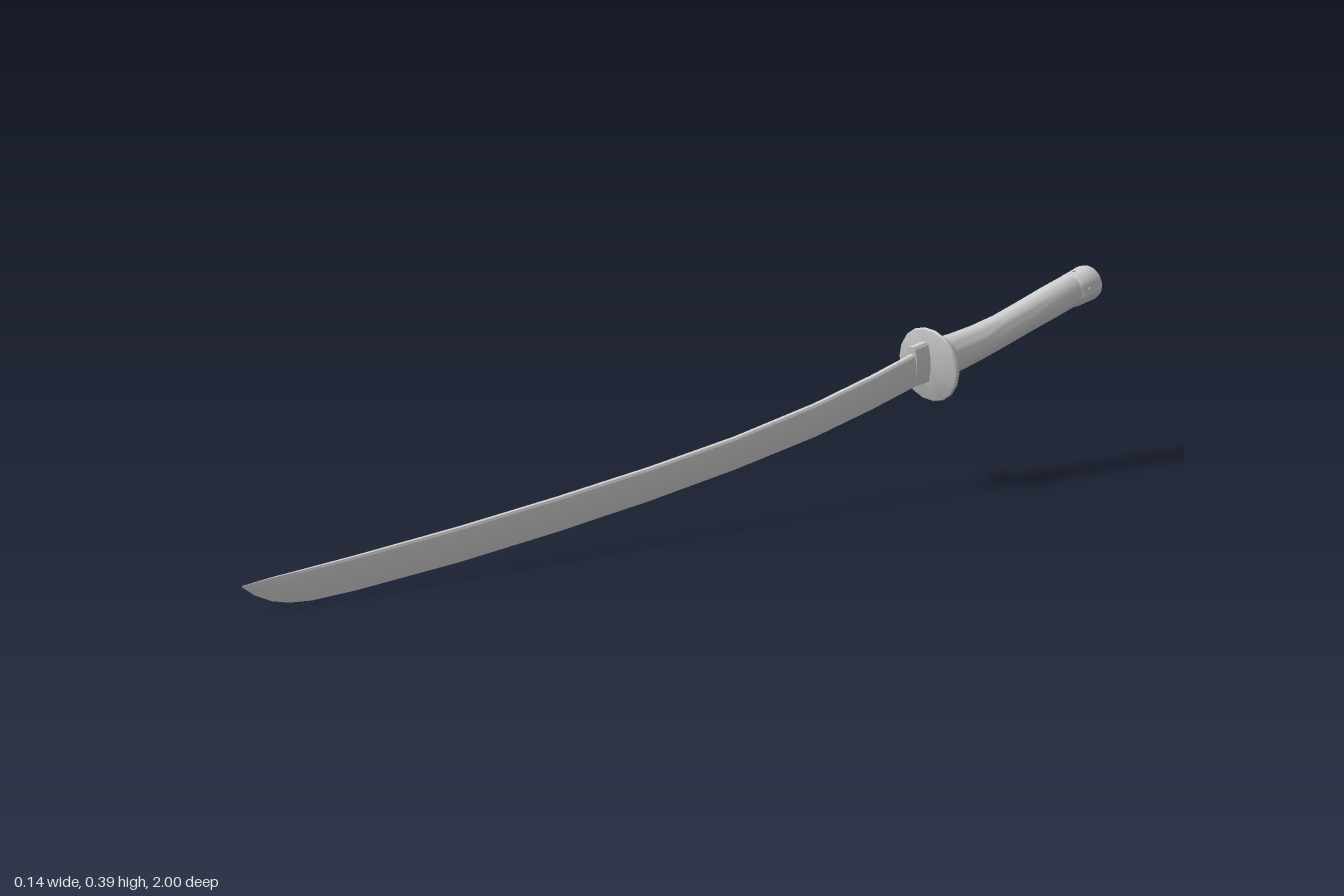
import * as THREE from 'three';
import { toCreasedNormals } from 'three/addons/utils/BufferGeometryUtils.js';

const grey = new THREE.MeshStandardMaterial({ color: 0xcccccc });

// Skin over rings of [x, y, z], clockwise seen from the front, ordered front to back
function loft(rings, crease = 0.6) {
  const n = rings[0].length, pos = rings.flat(2), index = [];
  for (let s = 0; s < rings.length - 1; s++) {
    for (let i = 0; i < n; i++) {
      const a = s * n + i, b = s * n + (i + 1) % n;
      index.push(a, b, a + n, b, b + n, a + n);
    }
  }
  // end caps
  [0, rings.length - 1].forEach((s, end) => {
    const c = pos.length / 3;
    for (let k = 0; k < 3; k++) pos.push(rings[s].reduce((t, p) => t + p[k], 0) / n);
    for (let i = 0; i < n; i++) {
      const a = s * n + i, b = s * n + (i + 1) % n;
      index.push(c, end ? a : b, end ? b : a);
    }
  });
  const g = new THREE.BufferGeometry();
  g.setAttribute('position', new THREE.Float32BufferAttribute(pos, 3));
  g.setIndex(index);
  return toCreasedNormals(g, crease);
}

// Oval ring standing square to an axis that climbs toward the back
function oval(z, y, rx, ry, tilt, n = 24) {
  return Array.from({ length: n }, (_, i) => {
    const a = (i / n) * Math.PI * 2, u = Math.cos(a) * ry;
    return [Math.sin(a) * rx, y + u * Math.cos(tilt), z + u * Math.sin(tilt)];
  });
}

// Blade cross-section: narrow back, side ridge, sharp lower edge
function bladeRing(z, top, bottom, w, lean = 0) {
  const side = [[0.6, 1], [0.9, 0.93], [1, 0.68], [0.65, 0.3]];
  const right = side.map(([x, v]) => [x * w, v]);
  const left = side.map(([x, v]) => [-x * w, v]).reverse();
  return [[0, 1.01], ...right, [0, 0], ...left].map(([x, v]) =>
    [x, bottom + (top - bottom) * v, z + lean * (v - 0.5)]);
}

export function createModel() {
  const model = new THREE.Group();
  const add = (name, geometry, parent = model) => {
    const mesh = new THREE.Mesh(geometry, grey);
    mesh.name = name;
    parent.add(mesh);
    return mesh;
  };

  // Curved blade: z, back height, edge height, half thickness
  const stations = [
    [1, 0.041, 0.039, 0.0004], [0.98, 0.043, 0.024, 0.0015], [0.95, 0.046, 0.01, 0.003],
    [0.92, 0.048, 0.003, 0.004], [0.88, 0.051, 0, 0.005], [0.8, 0.057, 0.003, 0.006],
    [0.6, 0.075, 0.018, 0.007], [0.4, 0.097, 0.039, 0.0075], [0.2, 0.122, 0.064, 0.008],
    [0, 0.152, 0.094, 0.008], [-0.2, 0.191, 0.13, 0.008], [-0.35, 0.228, 0.165, 0.0085],
    [-0.5, 0.27, 0.205, 0.0085],
  ];
  add('blade', loft(stations.map((s) => bladeRing(...s)), 0.35));

  // Collar hugging the blade in front of the guard
  add('bladeCollar', loft([
    bladeRing(-0.462, 0.272, 0.196, 0.011, 0.014),
    bladeRing(-0.505, 0.281, 0.203, 0.0115, 0.014),
  ], 0.35));

  // Round guard with a softened rim
  const guard = new THREE.LatheGeometry([
    [0, -0.006], [0.066, -0.006], [0.0715, -0.004], [0.0735, 0], [0.0715, 0.004], [0.066, 0.006], [0, 0.006],
  ].map(([x, y]) => new THREE.Vector2(x, y)), 18);
  const guardMesh = add('guard', toCreasedNormals(guard, 0.6));
  guardMesh.position.set(0, 0.235, -0.506);
  guardMesh.rotation.x = -Math.PI / 2 + 0.2;

  // Ferrule behind the guard
  add('handleFerrule', loft([
    oval(-0.508, 0.238, 0.034, 0.049, 0.2),
    oval(-0.54, 0.245, 0.033, 0.043, 0.2),
    oval(-0.552, 0.248, 0.031, 0.038, 0.2),
  ]));

  // Gently curved, slightly waisted grip
  const grip = [
    [-0.53, 0.243, 0.031, 0.041], [-0.58, 0.252, 0.031, 0.038], [-0.64, 0.265, 0.031, 0.035],
    [-0.71, 0.283, 0.0295, 0.033], [-0.78, 0.304, 0.03, 0.033], [-0.86, 0.328, 0.031, 0.034],
    [-0.935, 0.35, 0.03, 0.034],
  ];
  add('grip', loft(grip.map(([z, y, rx, ry]) => oval(z, y, rx, ry, 0.25))));

  // Pommel, built along its own axis and tilted with the handle
  const pommel = new THREE.Group();
  pommel.name = 'pommel';
  pommel.position.set(0, 0.346, -0.926);
  pommel.rotation.x = 0.25;
  model.add(pommel);
  add('pommelCap', loft([
    [0, 0.031], [-0.004, 0.035], [-0.025, 0.0355], [-0.05, 0.037], [-0.06, 0.035], [-0.066, 0.029],
  ].map(([z, r]) => oval(z, 0, r, r, 0))), pommel);

  // Six-pointed rosette on the end face
  const star = new THREE.Shape(Array.from({ length: 12 }, (_, i) => {
    const r = i % 2 ? 0.015 : 0.025, a = (i / 12) * Math.PI * 2;
    return new THREE.Vector2(Math.sin(a) * r, Math.cos(a) * r);
  }));
  const rosette = add('endRosette', new THREE.ExtrudeGeometry(star, { depth: 0.004, bevelEnabled: false }), pommel);
  rosette.position.z = -0.069;

  // Small pins on the pommel
  for (const a of [0, 0.5, 1, 1.5].map((k) => k * Math.PI)) {
    const pin = add('pommelPin', new THREE.CylinderGeometry(0.004, 0.004, 0.004, 10), pommel);
    pin.position.set(Math.sin(a) * 0.035, Math.cos(a) * 0.035, -0.02);
    pin.rotation.z = -a;
  }

  return model;
}
